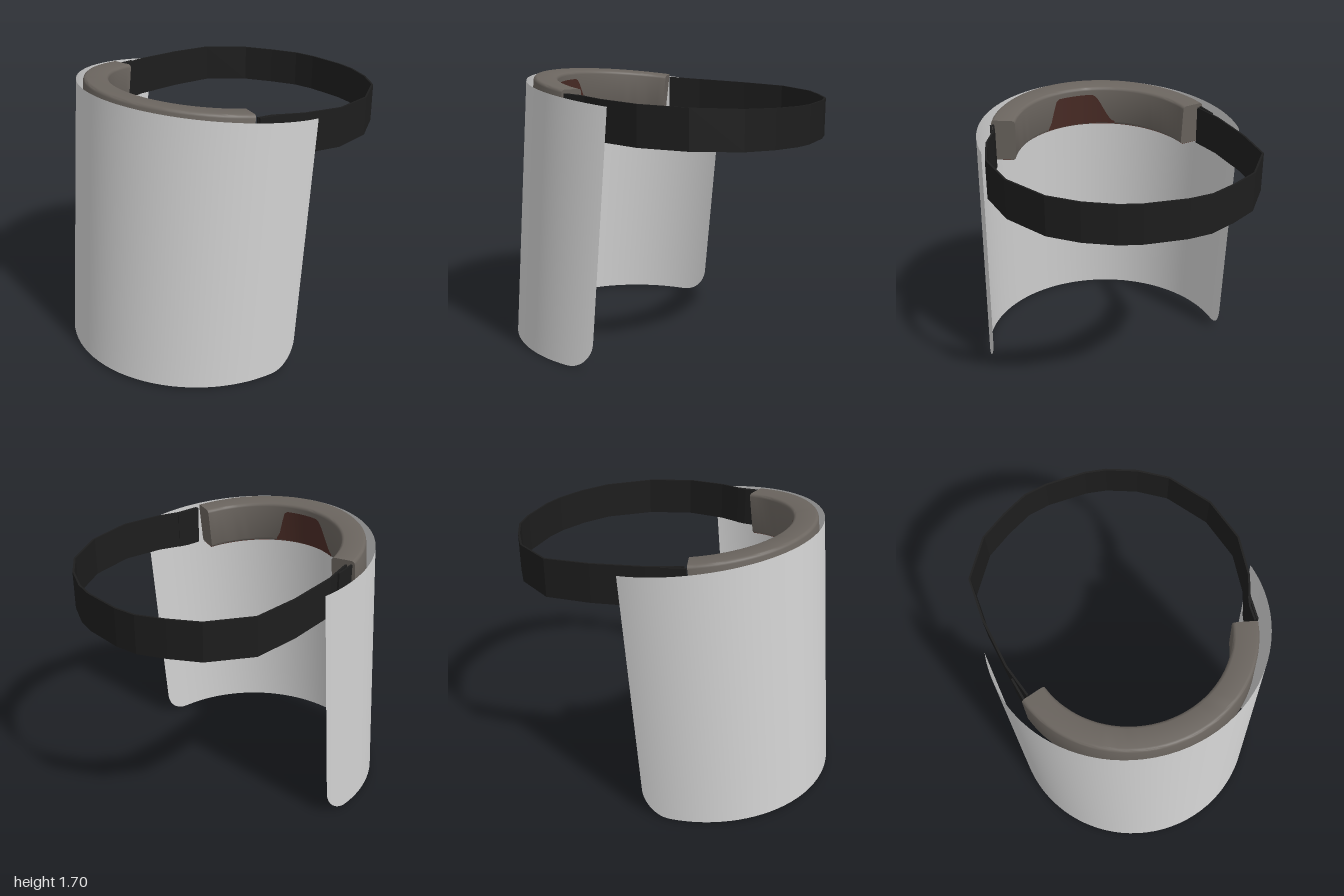
import * as THREE from 'three';
import { toCreasedNormals } from 'three/addons/utils/BufferGeometryUtils.js';

const material = (name, color, extra = {}) => {
  const m = new THREE.MeshStandardMaterial({ color, ...extra });
  m.name = name;
  return m;
};

// Skins a list of equal cross-sections (arrays of Vector3) and caps both ends.
function loft(rings, crease) {
  const n = rings[0].length;
  const index = [];
  for (let i = 0; i < rings.length - 1; i++) {
    for (let j = 0; j < n; j++) {
      const a = i * n + j, b = i * n + ((j + 1) % n);
      index.push(a, a + n, b, b, a + n, b + n);
    }
  }
  const end = (rings.length - 1) * n;
  for (let j = 1; j < n - 1; j++) index.push(0, j, j + 1, end, end + j + 1, end + j);
  const geometry = new THREE.BufferGeometry().setFromPoints(rings.flat());
  geometry.setIndex(index);
  return toCreasedNormals(geometry, crease);
}

// Bends a flat grid: place(u, v) gives the point for u, v in 0..1.
function sheet(columns, rows, place) {
  const geometry = new THREE.PlaneGeometry(1, 1, columns, rows);
  const p = geometry.attributes.position;
  for (let i = 0; i < p.count; i++) p.setXYZ(i, ...place(p.getX(i) + 0.5, p.getY(i) + 0.5));
  geometry.computeVertexNormals();
  return geometry;
}

// Flat strap standing on edge along a plan path of [x, z] points.
function ribbon(path, thickness) {
  const pts = path.map(([x, z]) => new THREE.Vector3(x, 0, z));
  const rings = pts.map((p, i) => {
    const t = pts[Math.min(i + 1, pts.length - 1)].clone().sub(pts[Math.max(i - 1, 0)]).normalize();
    const out = new THREE.Vector3(t.z, 0, -t.x).multiplyScalar(thickness / 2);
    const top = 1.615 + 0.045 * p.z, bottom = 1.375 + 0.037 * p.z;
    return [[-1, top], [1, top], [1, bottom], [-1, bottom]].map(([side, y]) =>
      p.clone().addScaledVector(out, side).setY(y));
  });
  return loft(rings, 0.1);
}

export function createModel() {
  const model = new THREE.Group();
  const clear = material('visorGrey', 0xd2d2d2, { side: THREE.DoubleSide });
  const foam = material('foamBrownGrey', 0x6b655f);
  const lining = material('liningRedBrown', 0x4a2c26, { side: THREE.DoubleSide });
  const black = material('strapBlack', 0x1d1d1d);
  const add = (name, geometry, mat, parent = model) => {
    const mesh = new THREE.Mesh(geometry, mat);
    mesh.name = name;
    parent.add(mesh);
  };

  // Curved visor, leaning back, with rounded lower corners
  const R = 0.82, sweep = THREE.MathUtils.degToRad(98), corner = 0.17;
  add('visor', sheet(72, 8, (u, v) => {
    const phi = sweep * Math.sin((u - 0.5) * Math.PI);
    const fromEdge = Math.min((sweep - Math.abs(phi)) * R, corner);
    const rise = corner - Math.sqrt(corner ** 2 - (corner - fromEdge) ** 2);
    const depth = R * Math.cos(phi);
    const low = 0.004 + 0.016 * Math.max(depth, 0) / R + rise;
    const high = 1.593 + 0.118 * depth;
    const y = THREE.MathUtils.lerp(low, high, v);
    return [R * Math.sin(phi), y, 0.18 - 0.084 * (y - 0.02) + depth];
  }), clear);

  // Forehead pad: rounded block swept along an arc, tilted up at the front
  const pad = new THREE.Group();
  pad.name = 'foreheadPad';
  pad.position.set(0, 1.625, 0.1);
  pad.rotation.x = -0.118;
  model.add(pad);

  const inner = 0.578, outer = 0.728, height = 0.27, bevel = 0.02;
  const start = THREE.MathUtils.degToRad(16), span = Math.PI - 2 * start;
  const section = [];
  const corners = [
    [inner + bevel, -bevel, Math.PI], [outer - bevel, -bevel, Math.PI / 2],
    [outer - bevel, bevel - height, 0], [inner + bevel, bevel - height, -Math.PI / 2],
  ];
  for (const [r, y, a] of corners) {
    for (let k = 0; k <= 3; k++) {
      const t = a - k * Math.PI / 6;
      section.push([r + bevel * Math.cos(t), y + bevel * Math.sin(t)]);
    }
  }
  const rings = [];
  for (let i = 0; i <= 36; i++) {
    const a = start + span * i / 36;
    rings.push(section.map(([r, y]) => new THREE.Vector3(r * Math.cos(a), y, r * Math.sin(a))));
  }
  add('foam', loft(rings, 0.7), foam, pad);

  // Red-brown underside and the patch on the inner face
  const under = new THREE.RingGeometry(inner + 0.015, outer - 0.015, 36, 1, start, span);
  under.rotateX(Math.PI / 2);
  under.translate(0, -height - 0.002, 0);
  add('padUnderside', under, lining, pad);
  add('innerPatch', sheet(24, 6, (u, v) => {
    const x = THREE.MathUtils.lerp(-0.2, 0.27, u), r = inner - 0.004;
    const { smoothstep } = THREE.MathUtils;
    const tall = smoothstep(x, -0.2, -0.04) * (1 - smoothstep(x, 0.2, 0.27));
    return [x, -height + 0.012 + v * (0.015 + 0.195 * tall), Math.sqrt(r * r - x * x)];
  }), lining, pad);

  // Head strap, around the back from right to left
  add('headStrap', ribbon([
    [-0.66, 0.27], [-0.72, 0.07], [-0.763, -0.25], [-0.765, -0.53], [-0.61, -0.77],
    [-0.45, -0.88], [-0.29, -0.967], [-0.15, -0.994], [0.1, -0.994], [0.23, -0.97],
    [0.41, -0.895], [0.575, -0.78], [0.743, -0.53], [0.808, -0.25], [0.77, 0],
    [0.72, 0.13], [0.705, 0.28],
  ], 0.012), black);

  // Folded strap ends beside the pad
  add('rightStrapFold', ribbon([[-0.685, 0.29], [-0.712, 0.15]], 0.012), black);
  add('leftStrapFold', ribbon([[0.715, 0.13], [0.697, 0.19], [0.69, 0.28]], 0.012), black);

  return model;
}
